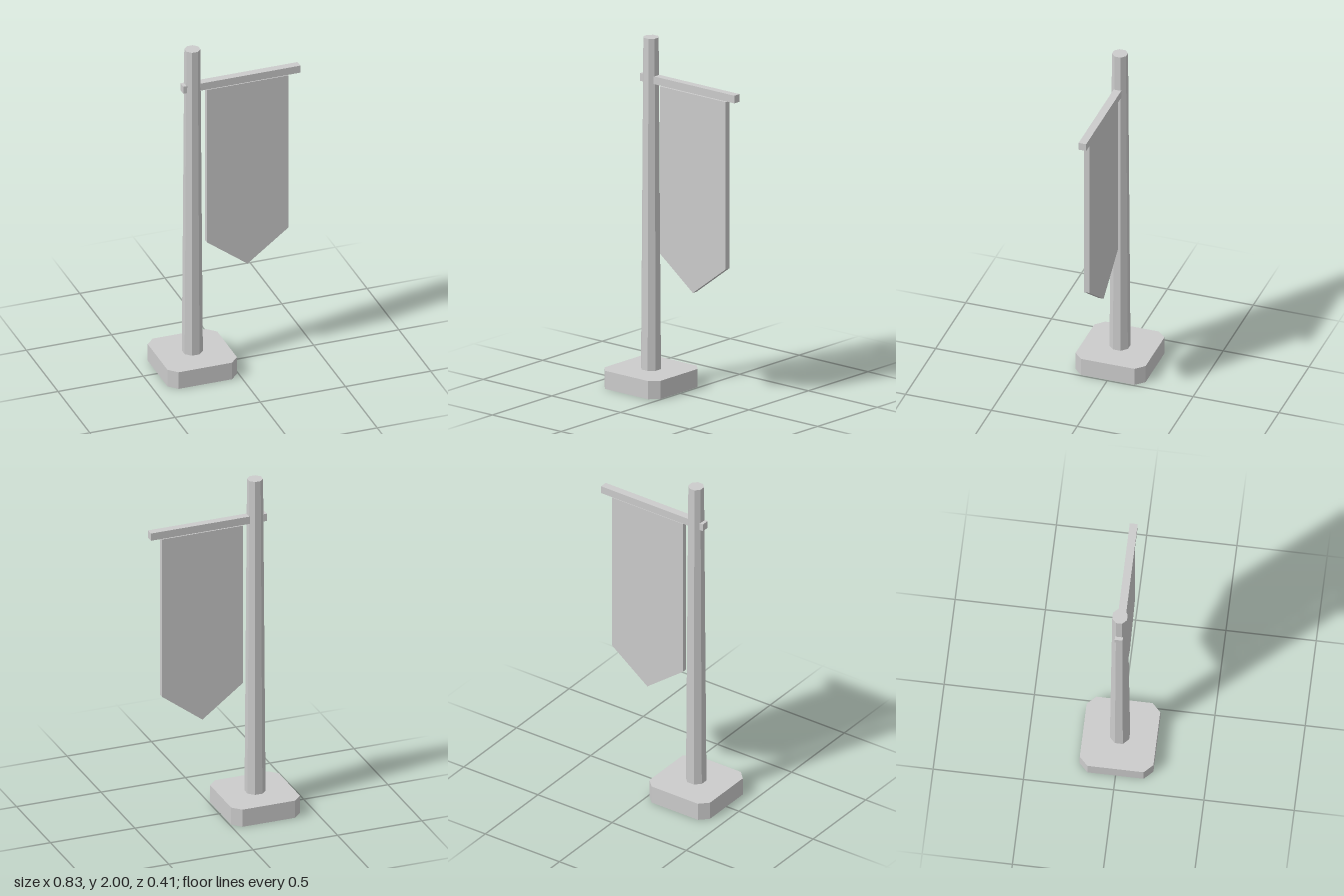
import * as THREE from 'three';

const stone = new THREE.MeshStandardMaterial({ color: 0xcccccc, flatShading: true });
stone.name = 'light grey';

function part(name, geometry, x = 0, y = 0, z = 0) {
  const mesh = new THREE.Mesh(geometry, stone);
  mesh.name = name;
  mesh.position.set(x, y, z);
  return mesh;
}

// Extrude an outline by depth, centred on z = 0
function slab(points, depth) {
  const shape = new THREE.Shape(points.map(([x, y]) => new THREE.Vector2(x, y)));
  return new THREE.ExtrudeGeometry(shape, { depth, bevelEnabled: false }).translate(0, 0, -depth / 2);
}

export function createModel() {
  const group = new THREE.Group();
  group.name = 'bannerPost';
  const poleX = -0.212;

  // Square foot with cut corners
  const h = 0.204, c = 0.156, baseH = 0.104;
  const outline = [[h, -c], [h, c], [c, h], [-c, h], [-h, c], [-h, -c], [-c, -h], [c, -h]];
  group.add(part('base', slab(outline, baseH).rotateX(-Math.PI / 2), poleX, baseH / 2));

  // Tapered eight-sided pole, flat side to the front
  const k = 1 / Math.cos(Math.PI / 8);
  const poleH = 2 - baseH;
  const pole = new THREE.CylinderGeometry(0.041 * k, 0.0535 * k, poleH, 8).rotateY(Math.PI / 8);
  group.add(part('pole', pole, poleX, baseH + poleH / 2));

  // Crossbar through the pole
  group.add(part('crossbar', new THREE.BoxGeometry(0.687, 0.044, 0.044), 0.07, 1.764));

  // Hanging banner with a pointed lower edge
  const banner = [[-0.133, 1.735], [-0.133, 0.778], [0.106, 0.598], [0.345, 0.778], [0.345, 1.735]];
  group.add(part('banner', slab(banner, 0.032)));

  return group;
}
